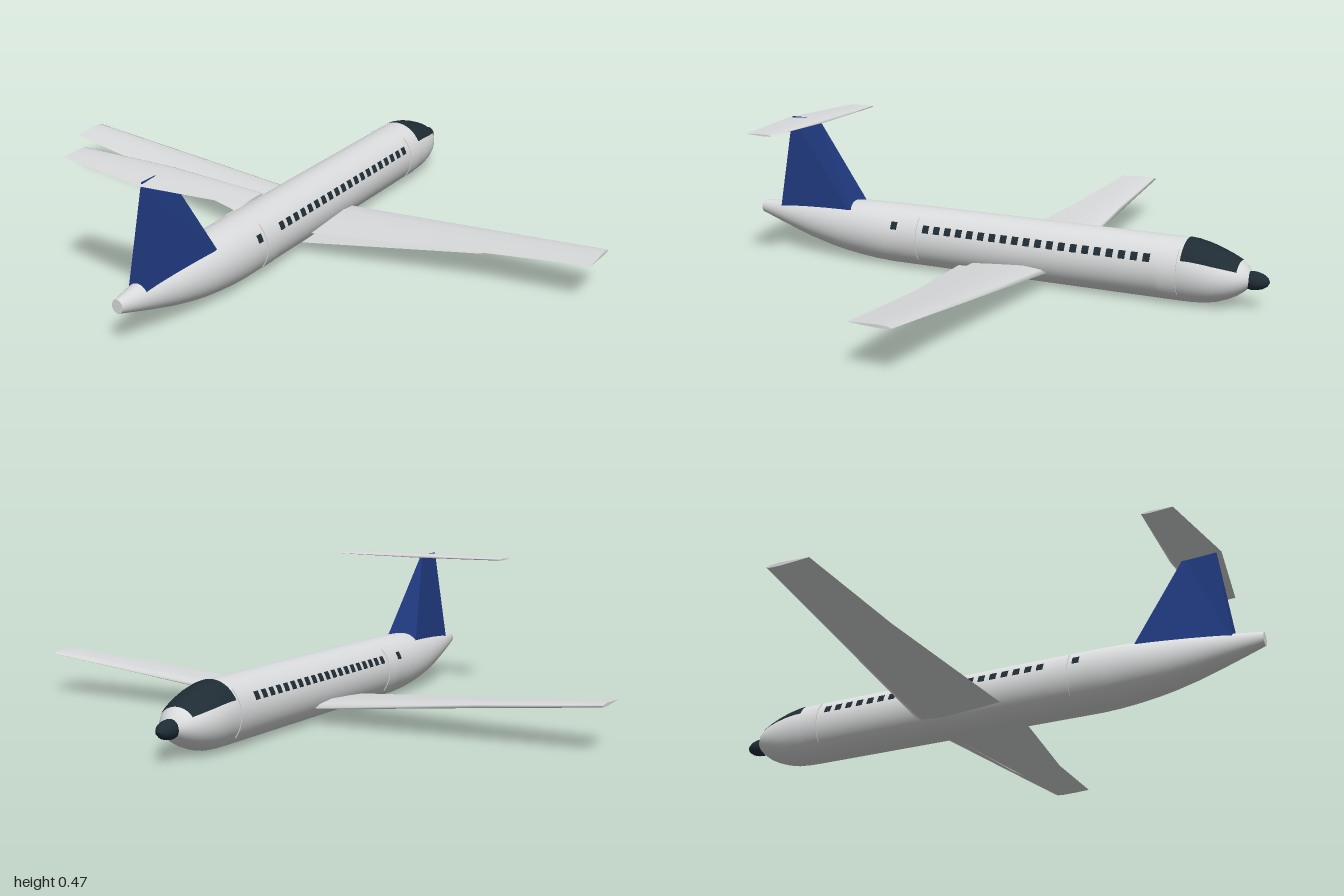
import * as THREE from 'three';
import { mergeVertices } from 'three/addons/utils/BufferGeometryUtils.js';

const rad = THREE.MathUtils.degToRad;
const lerp = THREE.MathUtils.lerp;

// Fuselage stations: z, bottom y, top y, half width
const HULL = [
  [-0.858, 0.08, 0.105, 0.018], [-0.85, 0.068, 0.118, 0.034], [-0.835, 0.053, 0.136, 0.053],
  [-0.815, 0.038, 0.15, 0.066], [-0.79, 0.025, 0.162, 0.077], [-0.755, 0.012, 0.176, 0.087],
  [-0.72, 0.004, 0.188, 0.092], [-0.68, 0.001, 0.197, 0.095], [-0.64, 0, 0.2, 0.095],
  [0.38, 0, 0.2, 0.095], [0.44, 0.003, 0.199, 0.094], [0.5, 0.009, 0.197, 0.091],
  [0.56, 0.017, 0.192, 0.085], [0.62, 0.028, 0.187, 0.077], [0.7, 0.047, 0.18, 0.064],
  [0.78, 0.071, 0.172, 0.049], [0.85, 0.093, 0.164, 0.034], [0.913, 0.113, 0.156, 0.019],
];

// Point on the fuselage skin at z, with the angle measured from the top towards +x
function skin(z, a, off = 0) {
  let i = 0;
  while (i < HULL.length - 2 && z > HULL[i + 1][0]) i++;
  const A = HULL[i], B = HULL[i + 1], t = (z - A[0]) / (B[0] - A[0]);
  const [lo, hi, w] = [1, 2, 3].map(k => lerp(A[k], B[k], t));
  return [(w + off) * Math.sin(a), (lo + hi) / 2 + ((hi - lo) / 2 + off) * Math.cos(a), z];
}

// Fan over a closed outline, facing the way the outline turns
function fan(outline) {
  const g = new THREE.BufferGeometry(), idx = [];
  for (let j = 1; j < outline.length - 2; j++) idx.push(0, j, j + 1);
  g.setAttribute('position', new THREE.Float32BufferAttribute(outline.flat(), 3));
  g.setIndex(idx);
  g.computeVertexNormals();
  return g;
}

// Surface through rows of points
function loft(rows, { smooth = true, weld = false } = {}) {
  const idx = [], n = rows[0].length;
  for (let i = 0; i < rows.length - 1; i++)
    for (let j = 0; j < n - 1; j++) {
      const a = i * n + j, b = a + n;
      idx.push(a, b, b + 1, a, b + 1, a + 1);
    }
  let g = new THREE.BufferGeometry();
  g.setAttribute('position', new THREE.Float32BufferAttribute(rows.flat(2), 3));
  g.setIndex(idx);
  if (weld) g = mergeVertices(g, 1e-5);
  if (!smooth) g = g.toNonIndexed();
  g.computeVertexNormals();
  return g;
}

// Thin plate on the fuselage between two z values and two angles, with a rim down to the skin
function plate(z0, z1, a0, a1, off, na) {
  const row = (z, h) => {
    const at = (j, o) => skin(z, rad(lerp(a0, a1, j / na)), o);
    return [at(0, 0), ...Array.from({ length: na + 1 }, (_, j) => at(j, h)), at(na, 0)];
  };
  return loft([row(z0, 0), row(z0, off), row(z1, off), row(z1, 0)], { smooth: false });
}

// Airfoil loop at x, from the trailing edge over the top and back underneath
const FOIL = [[1, 0], [0.65, 0.55], [0.3, 1], [0.07, 0.6], [0, 0], [0.07, -0.5], [0.3, -0.7], [0.65, -0.4], [1, 0]];
const foil = ([x, y, lead, trail, half]) => FOIL.map(([c, h]) => [x, y + h * half, lerp(lead, trail, c)]);

export function createModel() {
  const model = new THREE.Group();
  const paint = (name, color) => {
    const m = new THREE.MeshStandardMaterial({ color });
    m.name = name;
    return m;
  };
  const white = paint('white', 0xdadbdc);
  const blue = paint('blue', 0x203a80);
  const dark = paint('dark', 0x1f2c34);
  const group = name => {
    const g = new THREE.Group();
    g.name = name;
    model.add(g);
    return g;
  };
  const add = (name, geometry, material, parent = model) => {
    const mesh = new THREE.Mesh(geometry, material);
    mesh.name = name;
    parent.add(mesh);
    return mesh;
  };
  // Loft closed by a flat face at each end
  const addSolid = (name, rows, material, options) => {
    const g = group(name);
    add(name + 'Skin', loft(rows, options), material, g);
    add(name + 'StartCap', fan(rows[0]), material, g);
    add(name + 'EndCap', fan([...rows[rows.length - 1]].reverse()), material, g);
  };

  // Fuselage
  const rings = HULL.map(([z]) => Array.from({ length: 49 }, (_, j) => skin(z, (j / 48) * Math.PI * 2)));
  addSolid('fuselage', rings, white, { weld: true });

  // Cockpit glazing over the top of the nose
  const glass = [];
  for (let i = 0; i <= 20; i++) {
    const half = rad(lerp(57, 62, i / 20));
    glass.push(Array.from({ length: 25 }, (_, j) => skin(lerp(-0.822, -0.655, i / 20), lerp(-half, half, j / 24), 0.002)));
  }
  add('cockpit', loft(glass), dark);

  // Nose cone
  const cone = [[0, 0], [0.026, 0], [0.029, 0.015], [0.028, 0.03], [0.023, 0.048], [0.013, 0.063], [0, 0.07]];
  const nose = new THREE.LatheGeometry(cone.map(p => new THREE.Vector2(...p)), 24).rotateX(-Math.PI / 2);
  add('noseCone', nose, dark).position.set(0, 0.09, -0.842);

  // Cabin windows and doors on both sides
  const windows = group('windows'), doors = group('doors');
  const windowZ = [0.34];
  for (let i = 0; i < 20; i++) windowZ.push(0.22 - i * 0.0404);
  for (const s of [-1, 1]) {
    const side = (z, w, a, b, off, na) =>
      plate(z - w, z + w, s > 0 ? a : -b, s > 0 ? b : -a, off, na);
    for (const z of windowZ) add('window', side(z, 0.011, 56, 71, 0.0015, 3), dark, windows);
    for (const z of [0.284, -0.615]) add('door', side(z, 0.03, 41, 130, 0.003, 24), white, doors);
  }

  // Wing sections: x, y, leading z, trailing z, half thickness
  addSolid('wing', [
    [-1, 0.138, -0.185, -0.05, 0.006], [-0.62, 0.103, -0.197, -0.008, 0.009],
    [-0.08, 0.052, -0.215, 0.083, 0.016], [0.08, 0.052, -0.215, 0.05, 0.016],
    [0.66, 0.106, -0.196, -0.018, 0.009], [1, 0.138, -0.185, -0.05, 0.006],
  ].map(foil), white);

  // Lowered flap under the left wing
  addSolid('flap', [
    [0.08, 0.038, -0.17, 0.1, 0.004], [0.66, 0.102, -0.18, -0.018, 0.003],
  ].map(foil), white);

  // Fin: wide blunt front and narrow back, tapering to a thin top
  const fin = (y, zf, wf, zr, wr) =>
    [[-wf, y, zf], [wf, y, zf], [wr, y, zr], [-wr, y, zr], [-wf, y, zf]];
  addSolid('fin', [fin(0.13, 0.5, 0.066, 0.825, 0.034), fin(0.4645, 0.68, 0.002, 0.785, 0.002)],
    blue, { smooth: false });

  // Tailplane on top of the fin
  addSolid('tailplane', [
    [-0.318, 0.459, 0.653, 0.752, 0.004], [0, 0.459, 0.636, 0.802, 0.008],
    [0.318, 0.459, 0.653, 0.752, 0.004],
  ].map(foil), white);

  return model;
}
